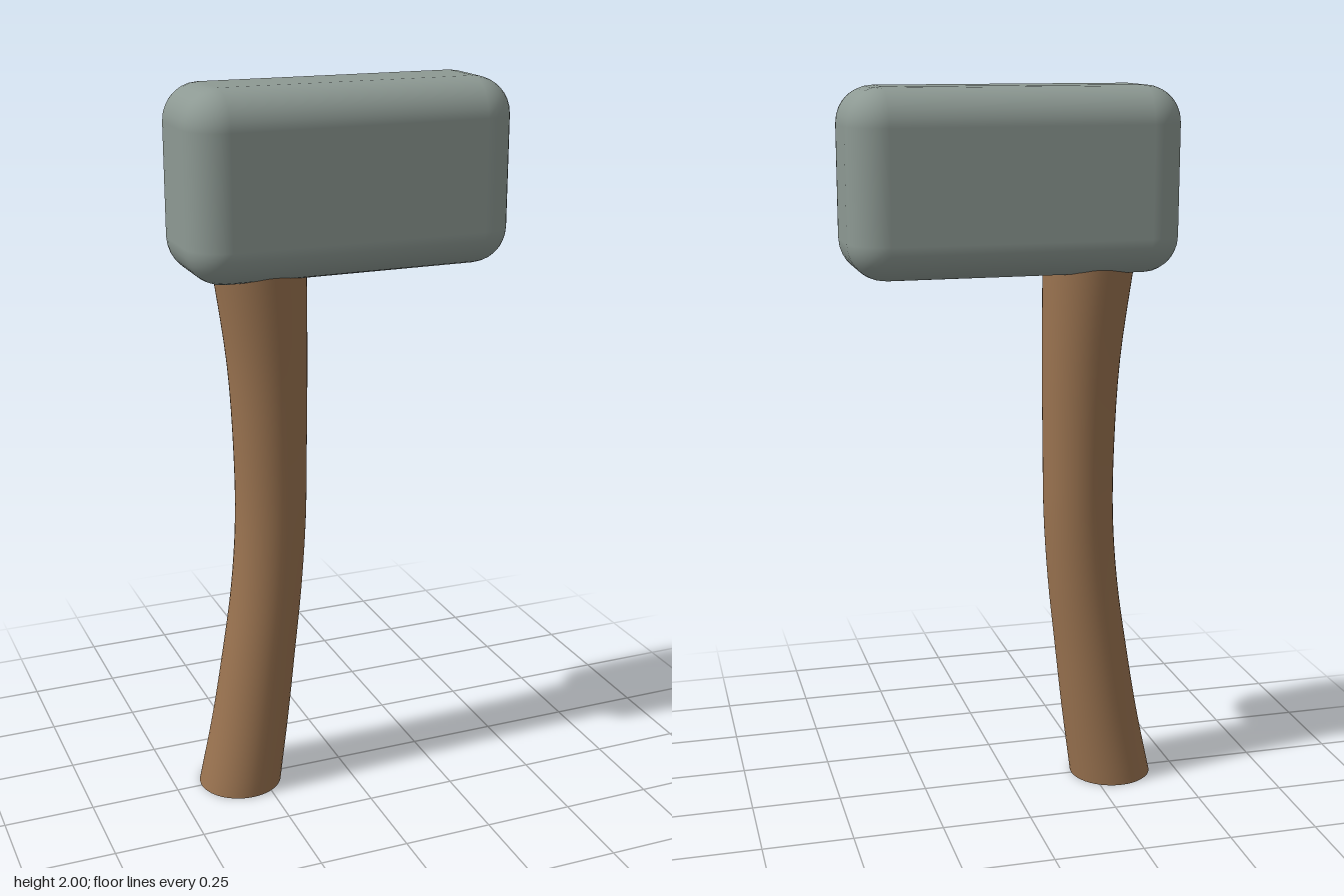
import * as THREE from 'three';
import { toCreasedNormals } from 'three/addons/utils/BufferGeometryUtils.js';
import { RoundedBoxGeometry } from 'three/addons/geometries/RoundedBoxGeometry.js';

const stone = new THREE.MeshStandardMaterial({ color: 0x8d9993 });
stone.name = 'grey head';
const wood = new THREE.MeshStandardMaterial({ color: 0x9a7350 });
wood.name = 'brown wood';

// Curved handle: a cylinder bent and swelled along stations of (centre x, height, radius)
function handleGeometry() {
  const stations = new THREE.CatmullRomCurve3([
    [-0.31, 0, 0.118],
    [-0.275, 0.2, 0.11],
    [-0.246, 0.4, 0.104],
    [-0.22, 0.6, 0.1],
    [-0.205, 0.8, 0.099],
    [-0.203, 1.0, 0.101],
    [-0.208, 1.25, 0.109],
    [-0.225, 1.5, 0.125],
    [-0.23, 1.56, 0.129],
  ].map((p) => new THREE.Vector3(...p)));
  const geometry = new THREE.CylinderGeometry(1, 1, 1, 40, 32);
  const pos = geometry.attributes.position;
  const s = new THREE.Vector3();
  for (let i = 0; i < pos.count; i++) {
    stations.getPoint(THREE.MathUtils.clamp(pos.getY(i) + 0.5, 0, 1), s);
    pos.setXYZ(i, s.x + pos.getX(i) * s.z, s.y, pos.getZ(i) * s.z);
  }
  return toCreasedNormals(geometry, 0.7);
}

export function createModel() {
  const model = new THREE.Group();
  model.name = 'mallet';

  // Rounded block head
  const head = new THREE.Mesh(new RoundedBoxGeometry(0.906, 0.5, 0.346, 4, 0.1), stone);
  head.name = 'head';
  head.position.y = 1.75;

  const handle = new THREE.Mesh(handleGeometry(), wood);
  handle.name = 'handle';

  model.add(head, handle);
  return model;
}
